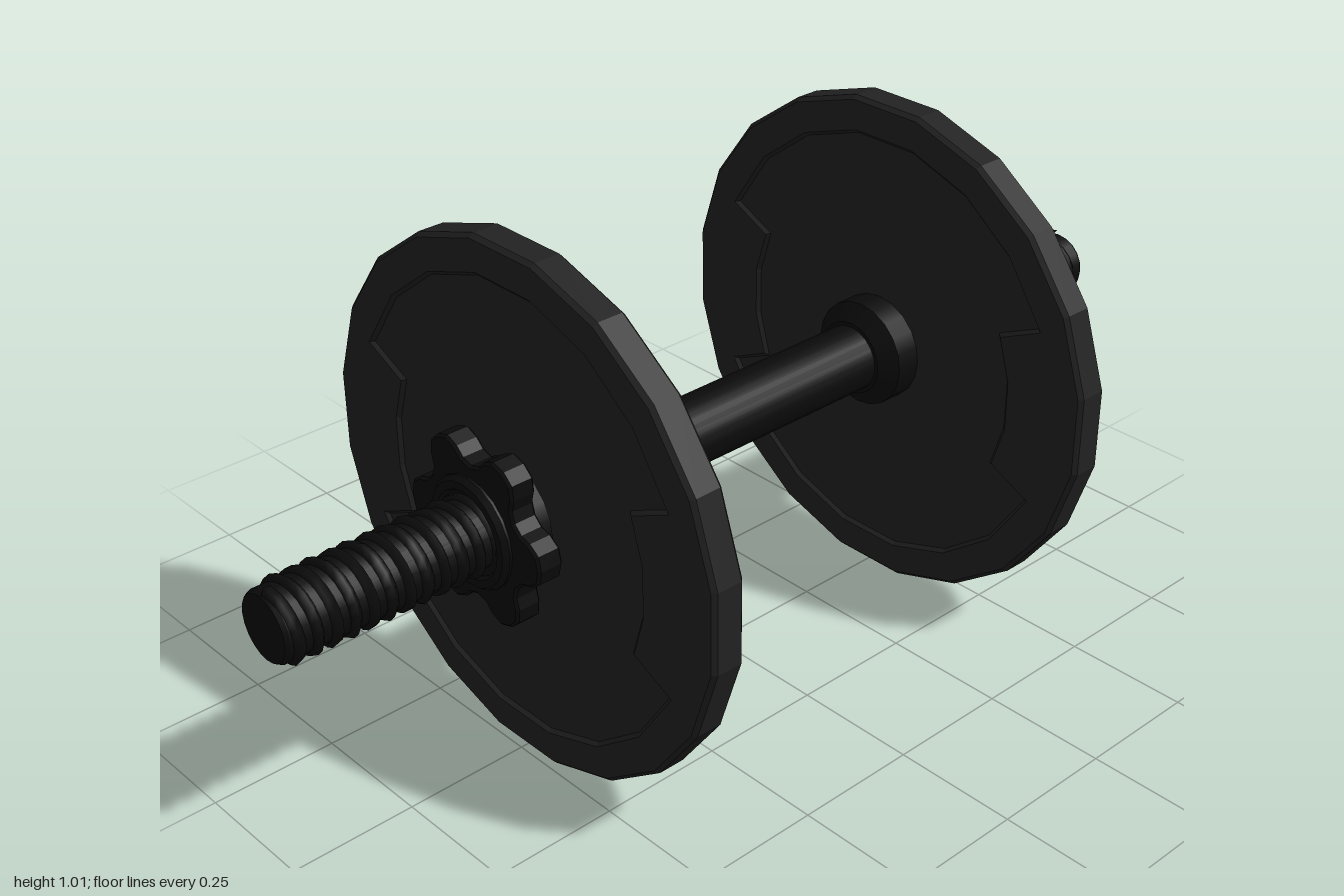
import * as THREE from 'three';

const AXIS_Y = 0.507;
const plateMat = new THREE.MeshStandardMaterial({ color: 0x222222 });
const barMat = new THREE.MeshStandardMaterial({ color: 0x0b0b0b });

const polar = (r, deg) => {
  const a = THREE.MathUtils.degToRad(deg);
  return new THREE.Vector2(r * Math.cos(a), r * Math.sin(a));
};

function add(parent, name, geometry, material, x = 0) {
  const mesh = new THREE.Mesh(geometry, material);
  mesh.name = name;
  mesh.position.x = x;
  parent.add(mesh);
  return mesh;
}

// Bevelled slab of total thickness t, centred on the origin, facing along x
function slab(shape, t, bevel) {
  const g = new THREE.ExtrudeGeometry(shape, {
    depth: t - 2 * bevel, bevelEnabled: true, bevelSegments: 1,
    bevelThickness: bevel, bevelSize: bevel, bevelOffset: -bevel, curveSegments: 6,
  });
  return g.translate(0, 0, -(t - 2 * bevel) / 2).rotateY(Math.PI / 2);
}

// Solid turned about the x axis from [x, radius] points; each span keeps its own normals
function turned(points, sides) {
  const profile = [];
  points.forEach(([x, r], i) => {
    const p = new THREE.Vector2(r, x);
    profile.push(p);
    if (i > 0 && i < points.length - 1) profile.push(p.clone());
  });
  return new THREE.LatheGeometry(profile, sides).rotateZ(-Math.PI / 2);
}

// Twenty-sided outline of the weight plate
function plateOutline() {
  const pts = [];
  for (let i = 0; i < 20; i++) {
    const p = polar(1 / Math.cos(Math.PI / 20), i * 18 + 9);
    pts.push(p.multiply(new THREE.Vector2(0.513, 0.507)));
  }
  return pts;
}

// Recess outline: wide at top and bottom, stepped in at both sides
function recessOutline() {
  const pts = [];
  for (const start of [0, 180]) {
    for (const a of [-25, -8.5, 8.5, 25]) pts.push(polar(0.336, start + a));
    for (let i = 0; i <= 7; i++) pts.push(polar(0.437, start + 25 + (i * 130) / 7));
  }
  return pts;
}

// Six-lobed grip of the spin nut
function starOutline() {
  const pts = [];
  for (let i = 0; i < 6; i++) {
    const c = i * 60;
    for (const [a, r] of [[-30, 0.131], [-21, 0.139], [-16, 0.158], [-9, 0.176],
      [0, 0.18], [9, 0.176], [16, 0.158], [21, 0.139]]) pts.push(polar(r, c + a));
  }
  return pts;
}

// Helical thread along +x
class Helix extends THREE.Curve {
  constructor(x0, x1, radius, turns) {
    super();
    Object.assign(this, { x0, x1, radius, turns });
  }
  getPoint(t, target = new THREE.Vector3()) {
    const a = t * this.turns * Math.PI * 2;
    return target.set(THREE.MathUtils.lerp(this.x0, this.x1, t),
      this.radius * Math.cos(a), this.radius * Math.sin(a));
  }
}

function buildSide(name, dir) {
  const side = new THREE.Group();
  side.name = name;
  const shift = 0.004 * dir;

  // Weight plate: thin core with a raised rim on both faces
  const plate = new THREE.Group();
  plate.name = 'weightPlate';
  plate.position.x = 0.459 + shift;
  side.add(plate);
  const rim = new THREE.Shape(plateOutline());
  rim.holes.push(new THREE.Path(recessOutline()));
  add(plate, 'plateRim', slab(rim, 0.068, 0.008), plateMat);
  const core = new THREE.Shape(plateOutline().map((p) => p.multiplyScalar(0.95)));
  add(plate, 'plateCore', slab(core, 0.054, 0.004), plateMat);

  // Inner stop collar with a tapered face
  add(side, 'collar', turned([[0.357, 0.06], [0.357, 0.075], [0.384, 0.108], [0.44, 0.108]], 20), barMat);

  // Spin nut: hub and star grip
  const nut = new THREE.Group();
  nut.name = 'spinNut';
  nut.position.x = -shift;
  side.add(nut);
  add(nut, 'nutHub', turned([[0.485, 0.06], [0.485, 0.108], [0.578, 0.108],
    [0.588, 0.1], [0.588, 0.085], [0.58, 0.08], [0.58, 0.06]], 20), barMat);
  add(nut, 'nutStar', slab(new THREE.Shape(starOutline()), 0.052, 0.005), barMat, 0.547);

  // Screw thread on the bar end
  const turns = 12;
  add(side, 'thread', new THREE.TubeGeometry(
    new Helix(0.55, 0.986, 0.065, turns), turns * 20, 0.012, 5), barMat);

  if (dir < 0) side.rotation.y = Math.PI;
  return side;
}

export function createModel() {
  const model = new THREE.Group();
  model.name = 'dumbbell';
  const assembly = new THREE.Group();
  assembly.name = 'assembly';
  assembly.position.y = AXIS_Y;
  model.add(assembly);

  // Bar running the whole length
  add(assembly, 'bar', turned([[-1, 0], [-1, 0.062], [-0.992, 0.067],
    [0.992, 0.067], [1, 0.062], [1, 0]], 20), barMat);

  assembly.add(buildSide('leftSide', 1), buildSide('rightSide', -1));
  return model;
}
